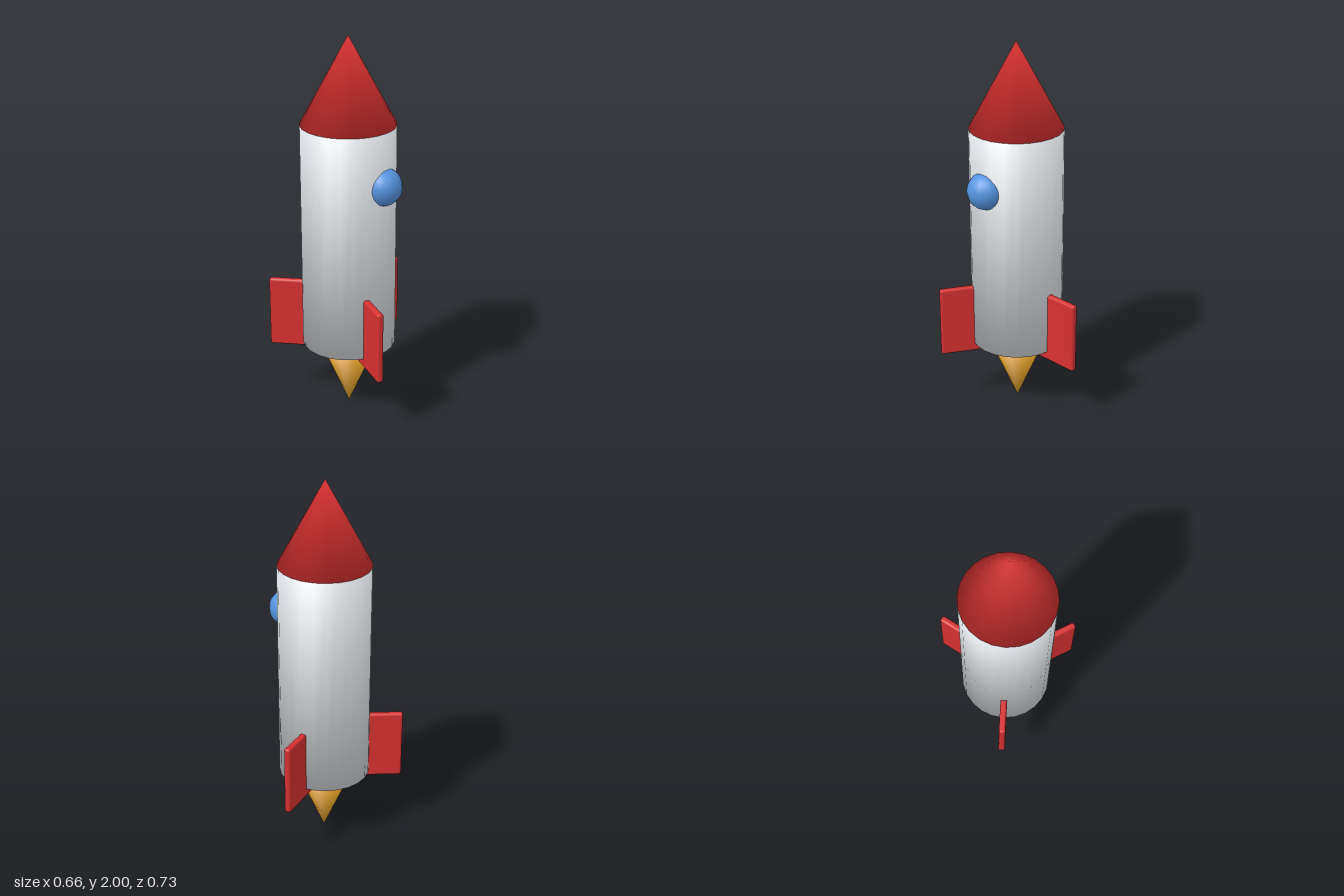
import * as THREE from 'three';
import { mergeVertices } from 'three/addons/utils/BufferGeometryUtils.js';
import { RoundedBoxGeometry } from 'three/addons/geometries/RoundedBoxGeometry.js';

const paint = (name, color) => {
  const m = new THREE.MeshStandardMaterial({ color });
  m.name = name;
  return m;
};

// Weld a solid and shade it smoothly across its rims, weighting faces by corner angle
function soften(source) {
  source.deleteAttribute('uv');
  source.deleteAttribute('normal');
  const geo = mergeVertices(source, 1e-4);
  const pos = geo.attributes.position, idx = geo.index;
  const sums = Array.from({ length: pos.count }, () => new THREE.Vector3());
  for (let i = 0; i < idx.count; i += 3) {
    const ids = [0, 1, 2].map(k => idx.getX(i + k));
    const p = ids.map(id => new THREE.Vector3().fromBufferAttribute(pos, id));
    const normal = new THREE.Triangle(...p).getNormal(new THREE.Vector3());
    ids.forEach((id, k) => {
      const a = p[(k + 1) % 3].clone().sub(p[k]);
      const b = p[(k + 2) % 3].clone().sub(p[k]);
      sums[id].addScaledVector(normal, a.angleTo(b));
    });
  }
  const normals = sums.flatMap(n => n.normalize().toArray());
  geo.setAttribute('normal', new THREE.Float32BufferAttribute(normals, 3));
  return geo;
}

export function createModel() {
  const red = paint('red', 0xd63031);
  const white = paint('hull white', 0xd8dce0);
  const blue = paint('window blue', 0x5593df);
  const orange = paint('flame orange', 0xe09f26);

  const rocket = new THREE.Group();
  rocket.name = 'rocket';
  const add = (name, geometry, material, x, y, z) => {
    const mesh = new THREE.Mesh(geometry, material);
    mesh.name = name;
    mesh.position.set(x, y, z);
    rocket.add(mesh);
    return mesh;
  };

  const axisX = -0.088, radius = 0.242, sides = 24;
  const hullBottom = 0.37, hullTop = 1.555;

  // Hull and nose
  const hullHeight = hullTop - hullBottom;
  add('hull', soften(new THREE.CylinderGeometry(radius, radius, hullHeight, sides)),
    white, axisX, hullBottom + hullHeight / 2, 0);
  const noseHeight = 2 - hullTop;
  add('nose', soften(new THREE.ConeGeometry(radius, noseHeight, sides)),
    red, axisX, hullTop + noseHeight / 2, 0);

  // Domed window on the front
  add('window', new THREE.SphereGeometry(0.097, 16, 16), blue, axisX, 1.275, 0.215);

  // Exhaust flame, pointing down just below the hull
  const flame = soften(new THREE.ConeGeometry(0.149, 0.35, sides).rotateX(Math.PI));
  add('flame', flame, orange, axisX, 0.175, 0);

  // Three fins, one on the left side
  const finGeometry = new RoundedBoxGeometry(0.312, 0.38, 0.035, 2, 0.0125);
  for (let i = 0; i < 3; i++) {
    const angle = i * Math.PI * 2 / 3;
    const fin = add('fin' + (i + 1), finGeometry, red,
      axisX + 0.262 * Math.cos(angle), 0.51, -0.262 * Math.sin(angle));
    fin.rotation.y = angle;
  }

  return rocket;
}
